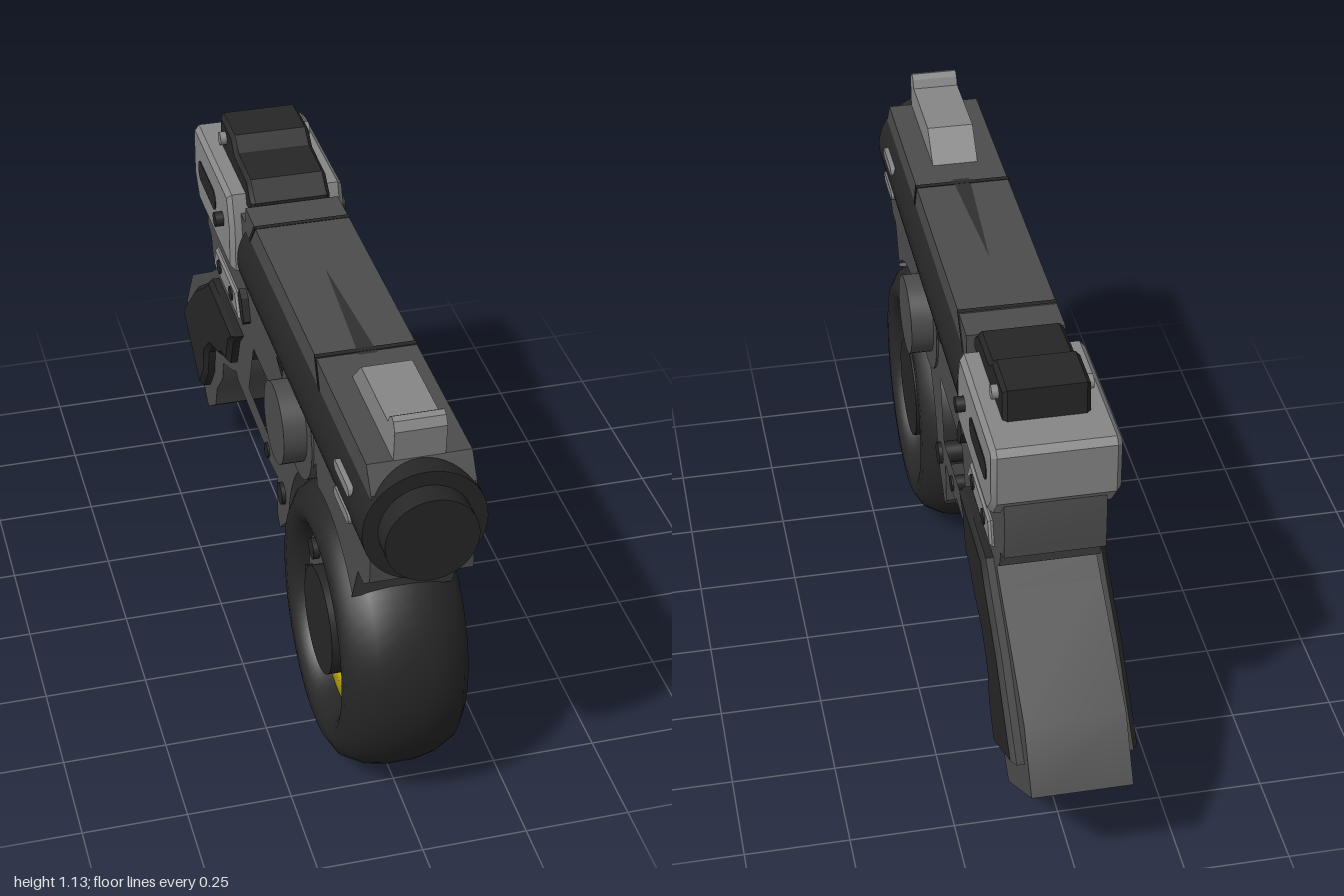
import * as THREE from 'three';
import { toCreasedNormals } from 'three/addons/utils/BufferGeometryUtils.js';

const paint = (color) => new THREE.MeshStandardMaterial({ color });

export function createModel() {
  const model = new THREE.Group();
  const steel = paint(0x4c4c4c), silver = paint(0x868686), black = paint(0x262626);
  const yellow = paint(0xe0c810);
  const rad = THREE.MathUtils.degToRad;

  const add = (name, geometry, material) => {
    const mesh = new THREE.Mesh(geometry, material);
    mesh.name = name;
    model.add(mesh);
    return mesh;
  };
  const outline = (pts) => new THREE.Shape(pts.map(([z, y]) => new THREE.Vector2(z, y)));

  // Side profile drawn in (z, y), extruded to x = -half .. half
  const slab = (name, shape, half, material, bevel = 0) => {
    const g = new THREE.ExtrudeGeometry(shape, {
      depth: 2 * (half - bevel), curveSegments: 24, bevelEnabled: bevel > 0,
      bevelSize: bevel, bevelOffset: -bevel, bevelThickness: bevel, bevelSegments: 1,
    });
    g.translate(0, 0, bevel - half);
    g.rotateY(-Math.PI / 2);
    return add(name, toCreasedNormals(g, 0.5), material);
  };
  // Cylinder running across the model along x
  const pin = (name, z, y, r, half, material, sides = 32) => {
    const g = new THREE.CylinderGeometry(r, r, 2 * half, sides);
    g.rotateZ(Math.PI / 2);
    g.translate(0, y, z);
    return add(name, g, material);
  };
  // Rounded slot across the model
  const slot = (name, z0, z1, y, r, half, material) => {
    const s = new THREE.Shape();
    s.absarc(z1 - r, y, r, -Math.PI / 2, Math.PI / 2);
    s.absarc(z0 + r, y, r, Math.PI / 2, Math.PI * 1.5);
    return slab(name, s, half, material);
  };
  // Cylinder running along z
  const tube = (name, z0, z1, r) => {
    const g = new THREE.CylinderGeometry(r, r, z1 - z0, 48);
    g.rotateX(Math.PI / 2);
    g.translate(0, 0.893, (z0 + z1) / 2);
    return add(name, g, black);
  };
  // Ring turned round the wheel axle; profile is [radius, x]
  const wheelZ = 0.557, wheelY = 0.355;
  const ring = (name, profile, material) => {
    const g = new THREE.LatheGeometry(profile.map(([r, x]) => new THREE.Vector2(r, x)), 64);
    g.rotateZ(-Math.PI / 2);
    g.translate(0, wheelY, wheelZ);
    return add(name, g, material);
  };

  // Frame, trigger guard and grip in one outline
  const frame = outline([[0.89, 1.035], [0.93, 0.98], [0.93, 0.75], [0.88, 0.71], [0.835, 0.71], [0.785, 0.6]]);
  frame.absarc(wheelZ, wheelY, 0.345, rad(47), rad(103));
  for (const [z, y] of [[0.465, 0.745], [0.43, 0.7], [0.35, 0.65]]) frame.lineTo(z, y);
  frame.absarc(wheelZ, wheelY, 0.36, rad(128), rad(170));
  for (const [z, y] of [[0.18, 0.37], [0.105, 0.3], [0.08, 0.33], [0.085, 0.44], [-0.06, 0.425],
    [-0.06, 0.445], [-0.35, 0.45], [-0.37, 0.465], [-0.41, 0.44], [-0.523, 0.39], [-0.54, 0.33],
    [-0.615, 0.25], [-0.64, 0.18], [-0.738, 0.11], [-1, 0.3], [-0.91, 0.44], [-0.64, 0.61],
    [-0.593, 0.644], [-0.625, 0.67], [-0.64, 0.72], [-0.68, 0.735], [-0.68, 0.85],
    [-0.64, 0.99], [-0.23, 0.99], [-0.225, 1.035]]) frame.lineTo(z, y);
  frame.holes.push(outline([[0.14, 0.67], [0.098, 0.5], [-0.218, 0.51], [-0.16, 0.665]]));
  slab('frame', frame, 0.117, steel);

  slab('gripPanels', outline([[-0.27, 0.635], [-0.555, 0.64], [-0.61, 0.595], [-0.74, 0.505], [-0.92, 0.33],
    [-0.705, 0.205], [-0.64, 0.29], [-0.625, 0.365], [-0.555, 0.43], [-0.45, 0.465], [-0.405, 0.495],
    [-0.35, 0.505], [-0.315, 0.59]]), 0.147, black, 0.012);

  slab('trigger', outline([[0.035, 0.68], [-0.115, 0.68], [-0.1, 0.58], [-0.05, 0.525], [0, 0.52],
    [-0.035, 0.57], [-0.04, 0.64], [0.02, 0.66]]), 0.035, black);

  // Barrel with muzzle and side vents
  tube('barrel', -0.225, 0.945, 0.14);
  tube('muzzle', 0.9, 1, 0.105);
  for (const y of [0.93, 0.858]) slot('barrelVent', 0.72, 0.845, y, 0.013, 0.143, silver);

  // Seams and tapered inlay along the top
  for (const [z, dz] of [[0.455, 0.035], [-0.13, -0.06]]) {
    slab('topSeam', outline([[z, 1.037], [z + dz, 0.965], [z + dz + 0.012, 0.965], [z + 0.014, 1.037]]), 0.119, black);
  }
  const inlay = new THREE.ShapeGeometry(outline([[0, -0.1], [-0.022, -0.48], [0.022, -0.48]]));
  inlay.rotateX(-Math.PI / 2);
  inlay.translate(0, 1.0365, 0);
  add('topInlay', inlay, new THREE.MeshStandardMaterial({ color: 0x303030, side: THREE.DoubleSide }));

  // Front sight
  slab('frontSight', outline([[0.89, 1.03], [0.897, 1.11], [0.885, 1.13], [0.87, 1.135], [0.855, 1.125],
    [0.845, 1.105], [0.63, 1.105], [0.555, 1.03]]), 0.058, silver);

  // Rear housing with slots and pins
  slab('rearHousing', outline([[-0.265, 0.835], [-0.265, 0.955], [-0.295, 1.035], [-0.675, 1.035],
    [-0.69, 1.02], [-0.69, 0.895], [-0.64, 0.835]]), 0.147, silver, 0.012);
  slot('housingSlot', -0.63, -0.43, 0.937, 0.028, 0.149, black);
  pin('housingPin', -0.355, 0.937, 0.019, 0.168, black, 16);

  // Rear sight
  slab('rearSight', outline([[-0.23, 1.0], [-0.23, 1.04], [-0.28, 1.08], [-0.41, 1.085], [-0.45, 1.115],
    [-0.575, 1.115], [-0.58, 1.0]]), 0.1, black, 0.01);
  pin('rearSightPin', -0.515, 1.075, 0.017, 0.116, silver, 16);

  // Receiver plate, latch and fasteners
  slab('receiverPlate', outline([[-0.28, 0.68], [-0.315, 0.74], [-0.545, 0.74], [-0.565, 0.68]]), 0.128, silver, 0.006);
  for (const z of [-0.357, -0.491]) pin('plateScrew', z, 0.713, 0.019, 0.132, black, 16);
  slab('latch', outline([[-0.185, 0.73], [-0.21, 0.785], [-0.235, 0.8], [-0.25, 0.775], [-0.225, 0.73], [-0.2, 0.715]]), 0.135, black);
  pin('strutBolt', 0.146, 0.435, 0.028, 0.127, black, 20);
  pin('guardBolt', -0.015, 0.455, 0.02, 0.122, black, 16);
  slab('frameNotch', outline([[0.17, 0.8], [0.09, 0.8], [0.165, 0.77]]), 0.119, black);

  // Round pivot cover
  pin('pivotLobe', 0.305, 0.762, 0.144, 0.122, steel, 40);
  pin('pivotDisc', 0.305, 0.762, 0.1, 0.177, steel, 40);

  // Wheel: tyre, yellow rim and hub
  const half = [[0.215, 0.085], [0.222, 0.115], [0.24, 0.138], [0.26, 0.147], [0.285, 0.146],
    [0.32, 0.125], [0.344, 0.08], [0.354, 0.03]];
  const mirrored = half.map(([r, x]) => [r, -x]);
  ring('tyre', [...mirrored, ...half.slice().reverse(), mirrored[0]], black);
  ring('rim', [[0.15, -0.035], [0.175, -0.07], [0.222, -0.09], [0.222, 0.09], [0.175, 0.07],
    [0.15, 0.035], [0.15, -0.035]], yellow);
  pin('hub', wheelZ, wheelY + 0.005, 0.13, 0.135, black, 48);

  // Bolted bracket around the upper part of the hub
  const bracket = new THREE.Shape();
  bracket.absarc(wheelZ, wheelY, 0.218, rad(12), rad(228), false);
  bracket.absarc(wheelZ, wheelY, 0.12, rad(228), rad(12), true);
  slab('wheelBracket', bracket, 0.1, steel);
  for (const a of [24, 57, 96, 144, 180, 217]) {
    pin('bracketBolt', wheelZ + 0.178 * Math.cos(rad(a)), wheelY + 0.178 * Math.sin(rad(a)), 0.026, 0.115, black, 16);
  }

  return model;
}
